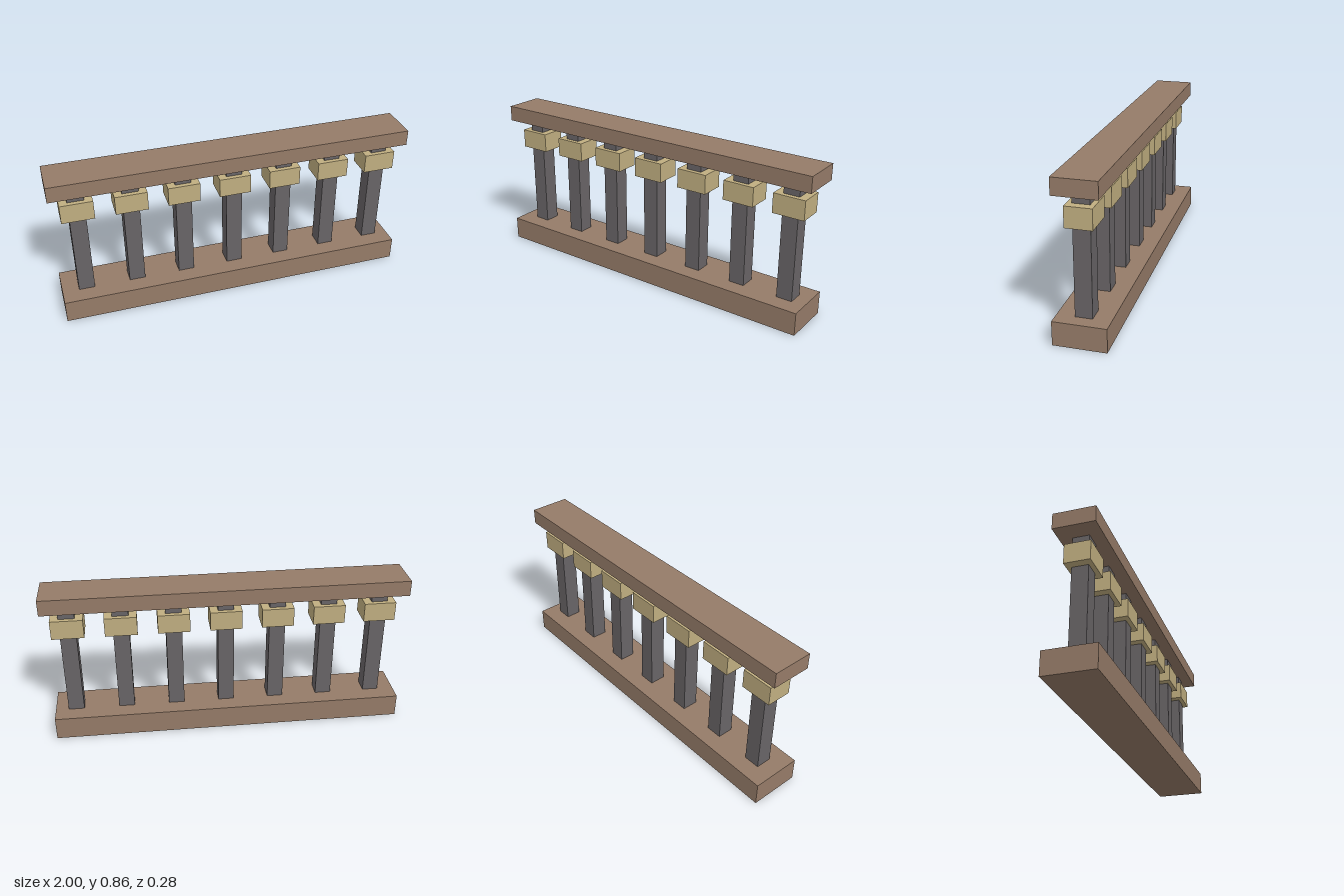
import * as THREE from 'three';

const material = (color) => new THREE.MeshStandardMaterial({ color, flatShading: true });

export function createModel() {
  const model = new THREE.Group();
  model.name = 'balustrade';
  const wood = material(0x957b68);
  const stone = material(0x686466);
  const tan = material(0xc0ae80);

  // Box given by its width, depth, bottom and top heights, and centre x
  const addBox = (parent, name, mat, width, depth, bottom, top, x = 0) => {
    const mesh = new THREE.Mesh(new THREE.BoxGeometry(width, top - bottom, depth), mat);
    mesh.name = name;
    mesh.position.set(x, (bottom + top) / 2, 0);
    parent.add(mesh);
  };

  // Wide base and narrower handrail
  addBox(model, 'baseRail', wood, 1.976, 0.277, 0, 0.129, -0.004);
  addBox(model, 'handrail', wood, 2, 0.226, 0.774, 0.862);

  // Seven evenly spaced square posts, each with a collar near the top
  const count = 7, spacing = 0.287;
  for (let i = 0; i < count; i++) {
    const baluster = new THREE.Group();
    baluster.name = `baluster${i + 1}`;
    baluster.position.x = (i - (count - 1) / 2) * spacing + 0.006;
    addBox(baluster, 'post', stone, 0.089, 0.089, 0.129, 0.774);
    addBox(baluster, 'collar', tan, 0.177, 0.139, 0.605, 0.713);
    model.add(baluster);
  }
  return model;
}
